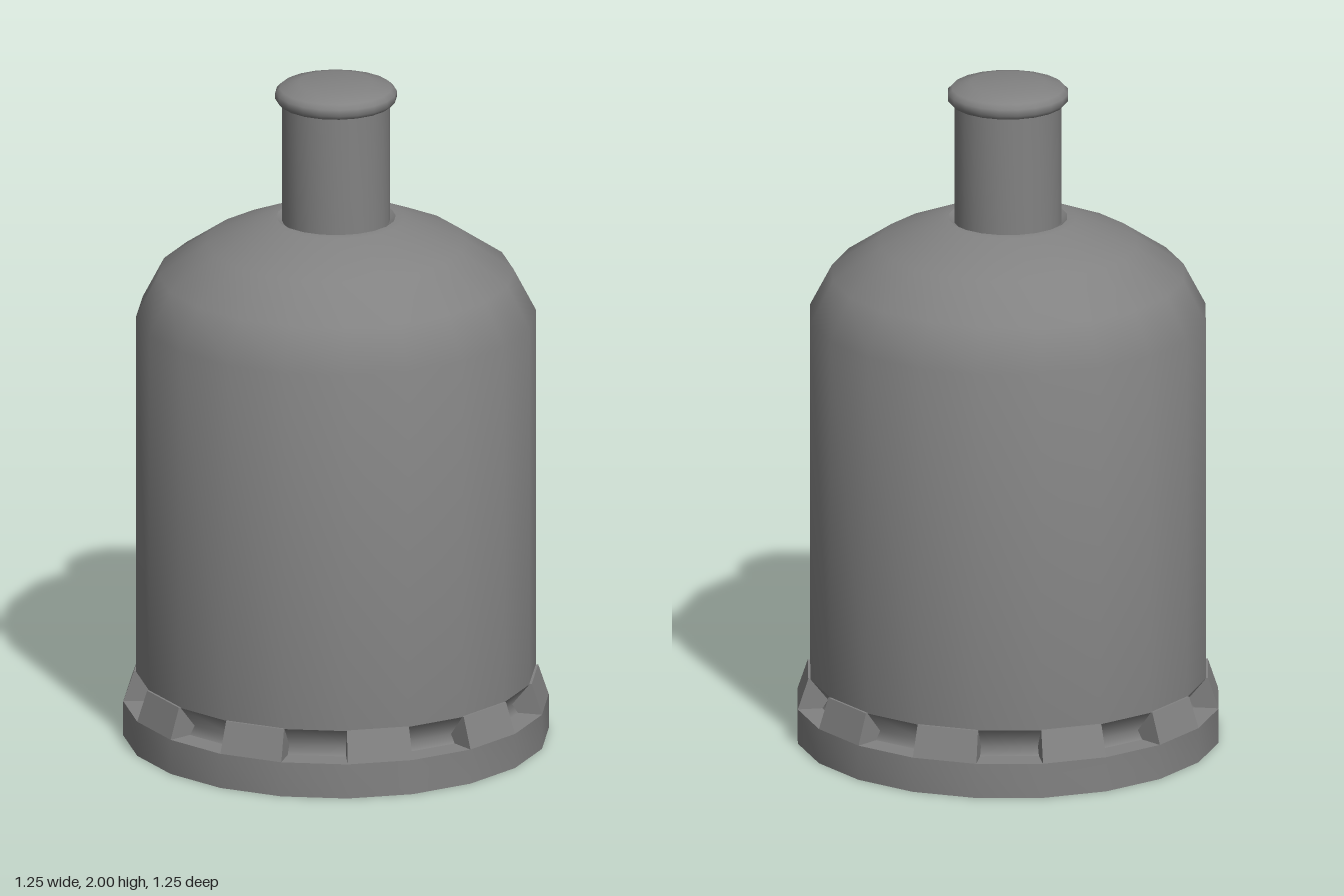
import * as THREE from 'three';
import { toCreasedNormals } from 'three/addons/utils/BufferGeometryUtils.js';

const SIDES = 20;

export function createModel() {
  const model = new THREE.Group();
  const material = new THREE.MeshStandardMaterial({ color: 0x828282 });

  const add = (name, geometry, parent = model) => {
    const mesh = new THREE.Mesh(geometry, material);
    mesh.name = name;
    parent.add(mesh);
    return mesh;
  };

  // Turned part from [radius, height] pairs, listed from bottom to top
  const turned = (name, profile, crease, sides = SIDES) => {
    const points = profile.map(([r, y]) => new THREE.Vector2(r, y));
    return add(name, toCreasedNormals(new THREE.LatheGeometry(points, sides), crease));
  };

  // Solid foot below the notched rim
  turned('baseRing', [[0, 0], [0.623, 0], [0.623, 0.105], [0.54, 0.105]], 0.5);

  // Undercut groove behind the rim teeth
  turned('rimGroove', [[0.55, 0.105], [0.533, 0.13], [0.585, 0.195]], 1.4);

  // Tank with a sloping shoulder
  turned('tankBody', [
    [0.585, 0.195], [0.585, 1.29], [0.52, 1.415],
    [0.38, 1.51], [0.2, 1.585], [0.175, 1.587], [0.15, 1.57],
  ], 0.6);

  // Neck and rounded cap
  turned('neck', [[0.158, 1.56], [0.158, 1.945]], 0.7, 24);
  turned('cap', [
    [0.15, 1.94], [0.168, 1.94], [0.178, 1.952], [0.178, 1.972],
    [0.165, 1.985], [0.11, 2], [0, 2],
  ], 0.9);

  // Tapered teeth around the rim, one on every second side
  const rim = new THREE.Group();
  rim.name = 'toothedRim';
  model.add(rim);
  const tooth = toothGeometry([
    [0.623, 0.105], [0.592, 0.197], [0.58, 0.197], [0.533, 0.13], [0.55, 0.105],
  ]);
  for (let i = 0; i < SIDES / 2; i++) {
    add('rimTooth', tooth, rim).rotation.y = (i * 4 * Math.PI) / SIDES;
  }
  return model;
}

// Sweeps a convex section across one side of the ring and closes both ends
function toothGeometry(section) {
  const n = section.length;
  const positions = [];
  for (const angle of [-2 * Math.PI / SIDES, 0]) {
    for (const [r, y] of section) positions.push(r * Math.cos(angle), y, r * Math.sin(angle));
  }
  const index = [];
  for (let i = 0; i < n; i++) {
    const j = (i + 1) % n;
    index.push(i, j, i + n, j, j + n, i + n);
    if (i > 0 && j > 0) index.push(0, j, i, n, n + i, n + j);
  }
  const geometry = new THREE.BufferGeometry();
  geometry.setAttribute('position', new THREE.Float32BufferAttribute(positions, 3));
  geometry.setIndex(index);
  return toCreasedNormals(geometry, 0.1);
}
